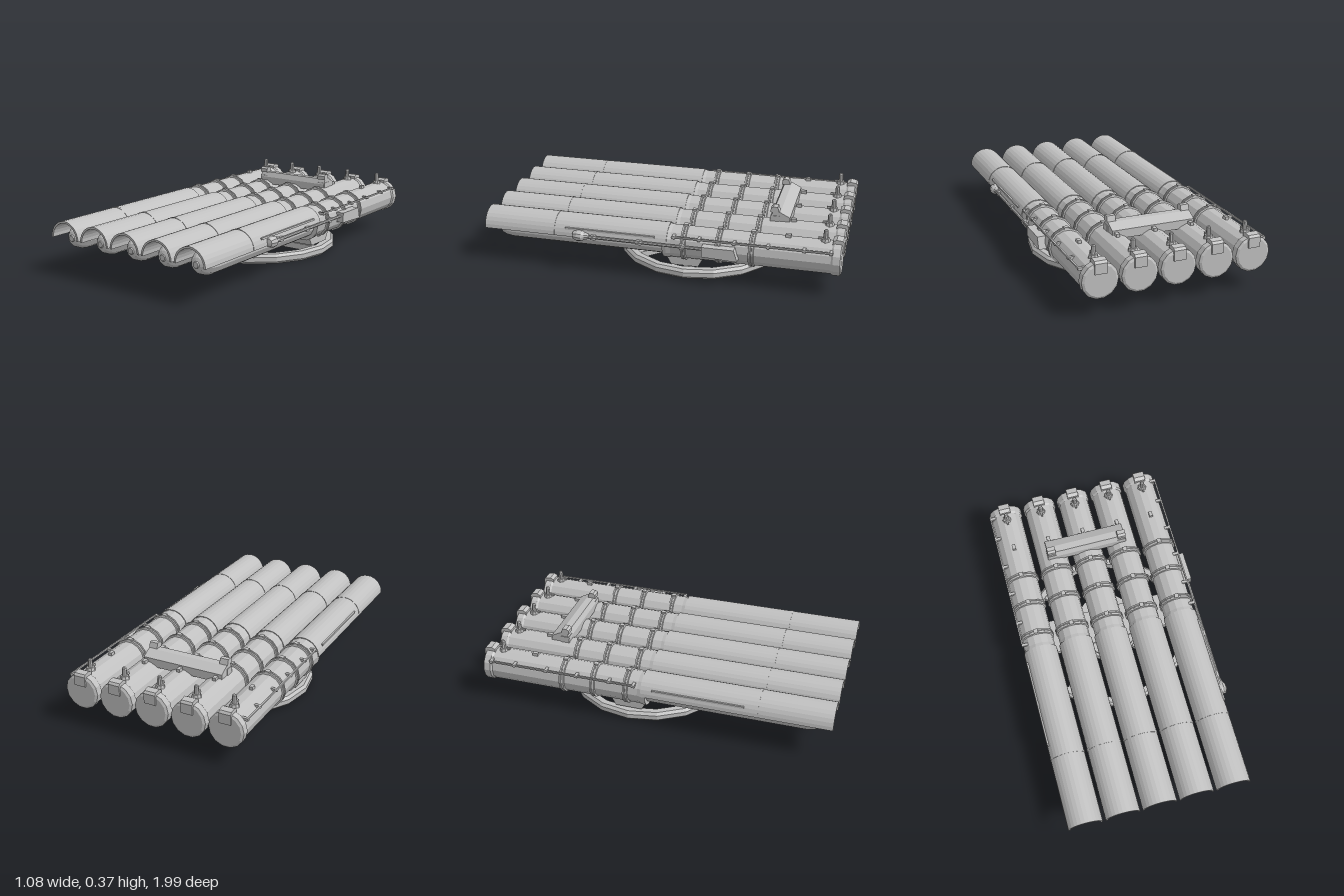
import * as THREE from 'three';

const metal = new THREE.MeshStandardMaterial({ color: 0xc0c0c0, flatShading: true });
metal.name = 'light grey metal';

const CY = 0.2;                                   // tube axis height
const CX = -0.016;                                // middle tube
const tubeXs = [-2, -1, 0, 1, 2].map(i => CX + i * 0.2115);
const PZ = -0.138;                                // turntable axis

function add(parent, name, geometry, x = 0, y = 0, z = 0) {
  const m = new THREE.Mesh(geometry, metal);
  m.name = name;
  m.position.set(x, y, z);
  parent.add(m);
  return m;
}
const box = (w, h, d) => new THREE.BoxGeometry(w, h, d);

// Solid of revolution along z from [radius, z] pairs, listed rear to front
function turned(profile, sides) {
  const g = new THREE.LatheGeometry(profile.map(([r, z]) => new THREE.Vector2(r, z)), sides);
  return g.rotateY(Math.PI / sides).rotateX(Math.PI / 2);
}

// Half-round shell extruded along z
function halfShell(outer, inner, z0, z1) {
  const s = new THREE.Shape();
  s.absarc(0, 0, outer, 0, Math.PI, false);
  s.absarc(0, 0, inner, Math.PI, 0, true);
  return new THREE.ExtrudeGeometry(s, { depth: z1 - z0, bevelEnabled: false, curveSegments: 7 }).translate(0, 0, z0);
}

// Side outline of [z, y] points extruded across x
function sidePlate(points, width) {
  const s = new THREE.Shape(points.map(([z, y]) => new THREE.Vector2(-z, y)));
  return new THREE.ExtrudeGeometry(s, { depth: width, bevelEnabled: false })
    .translate(0, 0, -width / 2).rotateY(Math.PI / 2);
}

function buildTube(x) {
  const tube = new THREE.Group();
  tube.name = 'torpedoTube';
  tube.position.set(x, CY, 0);

  // Barrel with rear rim and front collar
  add(tube, 'barrel', turned([[0, -0.985], [0.085, -0.985], [0.098, -0.978], [0.098, -0.94], [0.091, -0.93],
    [0.091, -0.07], [0.096, -0.045], [0.096, -0.025], [0, -0.025]], 14));
  // Paired clamping bands
  for (const z of [-0.14, -0.33, -0.51]) {
    add(tube, 'band', turned([[0.088, z - 0.016], [0.1, z - 0.013], [0.1, z - 0.004], [0.096, z - 0.002],
      [0.096, z + 0.002], [0.1, z + 0.004], [0.1, z + 0.013], [0.088, z + 0.016]], 14));
    add(tube, 'bandLug', box(0.025, 0.012, 0.026), 0, 0.1, z);
  }
  // Launching spoon
  add(tube, 'spoon', halfShell(0.098, 0.087, -0.05, 1));
  add(tube, 'spoonSeam', halfShell(0.1, 0.09, 0.588, 0.602));
  // Torpedo
  add(tube, 'torpedo', turned([[0.07, -0.04], [0.07, 0.86], [0.064, 0.895], [0.053, 0.922],
    [0.037, 0.94], [0.019, 0.947], [0.016, 0.953], [0, 0.953]], 12), 0, -0.006, 0);
  // Breech hinge, valve and small stud
  add(tube, 'breechHinge', sidePlate([[-0.93, 0.08], [-0.93, 0.102], [-0.95, 0.113], [-0.985, 0.108],
    [-0.994, 0.095], [-0.994, 0.04], [-0.975, 0.04]], 0.066));
  add(tube, 'valveBase', new THREE.CylinderGeometry(0.022, 0.027, 0.02, 8), 0, 0.095, -0.89);
  add(tube, 'valveStem', new THREE.CylinderGeometry(0.012, 0.014, 0.045, 8), 0, 0.125, -0.89);
  add(tube, 'valveCap', new THREE.CylinderGeometry(0.007, 0.012, 0.006, 8), 0, 0.15, -0.89);
  add(tube, 'valvePin', box(0.009, 0.012, 0.022), 0, 0.103, -0.862);
  add(tube, 'stud', box(0.02, 0.022, 0.03), 0, 0.095, -0.695);
  return tube;
}

function buildBase() {
  const base = new THREE.Group();
  base.name = 'turntable';
  base.position.set(CX, 0, PZ);

  // Bevelled rail ring
  const rail = [[0.44, 0.0], [0.474, 0.0], [0.488, 0.014], [0.488, 0.04], [0.474, 0.055], [0.44, 0.055], [0.44, 0.0]];
  const ring = new THREE.LatheGeometry(rail.map(p => new THREE.Vector2(...p)), 18);
  add(base, 'railRing', ring.rotateY(Math.PI / 2).scale(1, 1, 0.98));
  // Spokes and hub
  for (let i = 0; i < 8; i++) {
    const a = i * Math.PI / 4;
    const spoke = add(base, 'spoke', box(0.29, 0.035, 0.03), Math.cos(a) * 0.305, 0.03, Math.sin(a) * 0.305);
    spoke.rotation.y = -a;
  }
  add(base, 'hub', new THREE.CylinderGeometry(0.185, 0.185, 0.05, 18), 0, 0.032, 0);
  // Flared pedestal
  const pedestal = [[0, 0.055], [0.155, 0.055], [0.155, 0.075], [0.19, 0.125], [0.19, 0.14], [0, 0.14]];
  add(base, 'pedestal', new THREE.LatheGeometry(pedestal.map(p => new THREE.Vector2(...p)), 12));
  // Cross beam under all tubes
  add(base, 'crossBeam', sidePlate([[0.1, 0.15], [0.1, 0.115], [0.075, 0.07], [-0.075, 0.07],
    [-0.1, 0.115], [-0.1, 0.15]], 0.915));
  return base;
}

// Sight bench bridging the three middle tubes
function buildSight() {
  const sight = new THREE.Group();
  sight.name = 'sightBench';
  sight.position.set(-0.021, 0, 0);
  add(sight, 'benchBody', sidePlate([[-0.565, 0.265], [-0.565, 0.31], [-0.58, 0.34], [-0.62, 0.34],
    [-0.675, 0.312], [-0.675, 0.265]], 0.47));
  for (const s of [-1, 1]) {
    add(sight, 'benchFoot', box(0.052, 0.045, 0.05), s * 0.213, 0.297, -0.592);
    add(sight, 'sightHead', sidePlate([[-0.567, 0.338], [-0.567, 0.36], [-0.58, 0.37], [-0.605, 0.37],
      [-0.615, 0.338]], 0.048), s * 0.213);
  }
  return sight;
}

// Thin rails with brackets on an outer side
function buildRails(side) {
  const rails = new THREE.Group();
  rails.name = 'sideRails';
  const x = CX + side * 0.517;
  add(rails, 'frontRail', box(0.009, 0.011, 0.51), x - side * 0.003, 0.246, 0.27);
  for (const z of [0.04, 0.27, 0.5]) add(rails, 'frontBracket', box(0.022, 0.01, 0.016), x - side * 0.012, 0.243, z);
  add(rails, 'rearRail', box(0.008, 0.009, 0.86), x, 0.262, -0.51);
  for (const z of [-0.09, -0.23, -0.42, -0.6, -0.79, -0.93])
    add(rails, 'rearBracket', box(0.045, 0.014, 0.016), x - side * 0.018, 0.258, z);
  return rails;
}

// Training drive on the left outer tube
function buildDrive() {
  const drive = new THREE.Group();
  drive.name = 'trainingDrive';
  add(drive, 'driveBox', sidePlate([[-0.25, 0.235], [-0.25, 0.178], [-0.445, 0.17], [-0.425, 0.235]], 0.045), 0.513);
  const shaft = new THREE.CylinderGeometry(0.009, 0.009, 0.7, 8).rotateX(Math.PI / 2);
  add(drive, 'shaft', shaft, 0.513, 0.214, 0.1);
  add(drive, 'shaftEnd', turned([[0, 0.385], [0.014, 0.385], [0.02, 0.41], [0.03, 0.425], [0.032, 0.45],
    [0.022, 0.475], [0, 0.48]], 10), 0.508, 0.215, 0);
  for (const z of [0.36, 0.1, -0.14]) add(drive, 'shaftBracket', box(0.03, 0.025, 0.03), 0.503, 0.212, z);
  return drive;
}

export function createModel() {
  const model = new THREE.Group();
  model.name = 'torpedoLauncher';
  for (const x of tubeXs) model.add(buildTube(x));
  model.add(buildBase(), buildSight(), buildRails(1), buildRails(-1), buildDrive());
  return model;
}
